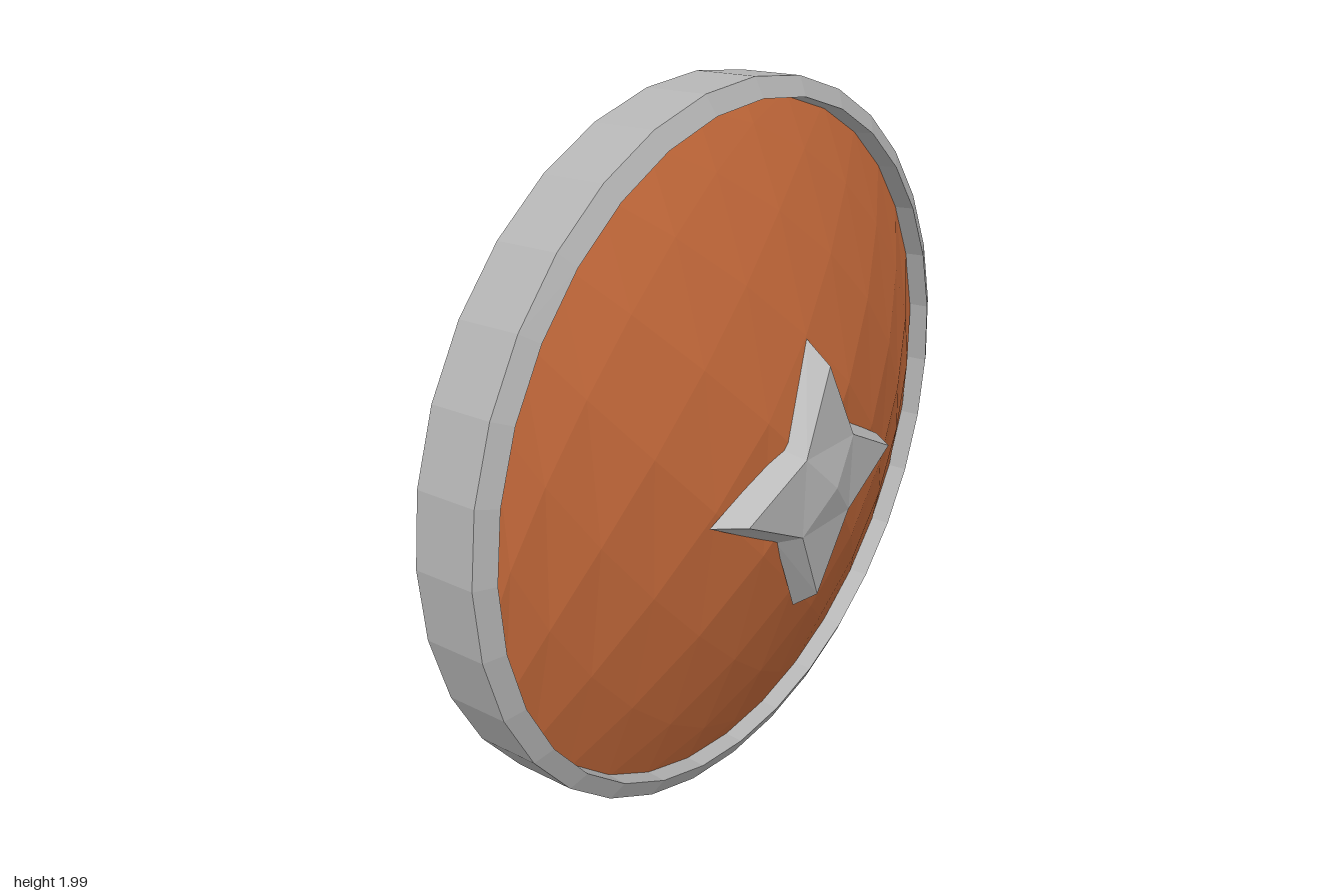
import * as THREE from 'three';

const metal = new THREE.MeshStandardMaterial({ name: 'greyMetal', color: 0xb4b4b4, flatShading: true });
const wood = new THREE.MeshStandardMaterial({ name: 'orangeWood', color: 0xc4693a, flatShading: true });

// Every part leans forward a little towards its top
const lean = new THREE.Matrix4().set(
  1, 0, 0, 0,
  0, 1, 0, 0,
  0, 0.04, 1, 0,
  0, 0, 0, 1);

// Flat-sided geometry from convex polygons, corners anticlockwise from outside
function facets(polys) {
  const pos = [];
  for (const p of polys)
    for (let i = 1; i < p.length - 1; i++) pos.push(...p[0], ...p[i], ...p[i + 1]);
  const g = new THREE.BufferGeometry();
  g.setAttribute('position', new THREE.Float32BufferAttribute(pos, 3));
  g.computeVertexNormals();
  return g;
}

// Side walls between a back loop and a front loop (anticlockwise seen from +z)
function walls(back, front) {
  return back.map((b, i) => {
    const j = (i + 1) % back.length;
    return [b, back[j], front[j], front[i]];
  });
}

function part(name, geometry, material) {
  const m = new THREE.Mesh(geometry.applyMatrix4(lean), material);
  m.name = name;
  return m;
}

// Hoop with a bevelled front edge and an inward-sloping back edge
function rimGeometry() {
  const profile = [[0.937, -0.175], [1, -0.21], [1, -0.03], [0.948, -0.003], [0.937, -0.175]]
    .map(([r, z]) => new THREE.Vector2(r, z));
  const g = new THREE.LatheGeometry(profile, 32);
  g.rotateX(Math.PI / 2);
  g.scale(1, 0.994, 1);
  return g;
}

// Thick shallow dome: an 8 x 8 square grid rounded to a disc and turned 45 degrees
function domePoint(i, j, depth) {
  const step = k => Math.SQRT2 * Math.sin((k - 4) * Math.PI / 16);
  const u = step(i), v = step(j);
  const a = u * Math.sqrt(1 - v * v / 2), b = v * Math.sqrt(1 - u * u / 2);
  const x = 0.954 * (a - b) * Math.SQRT1_2, y = 0.954 * (a + b) * Math.SQRT1_2;
  const r = Math.hypot(x, y);
  return [x, y, 0.22 - 0.1 * r - 0.21 * r * r - depth];
}

function domeGeometry() {
  const polys = [];
  for (let i = 0; i < 8; i++)
    for (let j = 0; j < 8; j++) {
      const quad = d => [[i, j], [i + 1, j], [i + 1, j + 1], [i, j + 1]].map(([a, b]) => domePoint(a, b, d));
      polys.push(quad(0), quad(0.1).reverse());
    }
  return facets(polys);
}

// Four-pointed boss: sloping sides, flat arms and a central pyramid
function starGeometry() {
  const loop = (tip, tipZ, notch, notchZ) => Array.from({ length: 8 }, (_, k) => {
    const a = k * Math.PI / 4, r = k % 2 ? notch : tip;
    return [r * Math.cos(a), r * Math.sin(a), k % 2 ? notchZ : tipZ];
  });
  const base = loop(0.39, 0.155, 0.19, 0.18);
  const top = loop(0.33, 0.232, 0.156, 0.247);
  const faces = walls(base, top);
  for (let k = 0; k < 8; k += 2) {
    const before = top[(k + 7) % 8], after = top[k + 1];
    faces.push([before, top[k], after], [[0, 0, 0.275], before, after]);
  }
  return facets(faces);
}

// Grip: long hexagon with a shallow channel along its back
function gripGeometry() {
  const h = 0.155;
  const plan = [[0.53, 0], [0.42, h], [-0.42, h], [-0.53, 0], [-0.42, -h], [0.42, -h]];
  const back = plan.map(([x, y]) => [x, y, y === 0 ? -0.275 : -0.252]);
  const front = plan.map(([x, y]) => [x, y, -0.18]);
  const [tipL, topL, topR, tipR, lowR, lowL] = back;
  const inL = [0.31, 0, -0.229], inR = [-0.31, 0, -0.229];
  const rear = [
    [tipL, topL, inL, lowL], [inR, topR, tipR, lowR],
    [topL, topR, inR, inL], [inL, inR, lowR, lowL],
  ].map(p => p.reverse());
  return facets([...walls(back, front), front, ...rear]);
}

// Diamond-section leg splaying out from the grip into the dome
function legGeometry(side) {
  const diamond = (cx, cy, rx, ry, z) => [[rx, 0], [0, ry], [-rx, 0], [0, -ry]]
    .map(([x, y]) => [side * cx + x, cy + y, z]);
  return facets(walls(diamond(0.42, 0, 0.11, 0.155, -0.181), diamond(0.59, 0.02, 0.18, 0.2, -0.01)));
}

export function createModel() {
  const group = new THREE.Group();
  group.name = 'roundShield';

  const body = new THREE.Group();
  body.name = 'body';
  body.position.y = 0.995;
  group.add(body);

  body.add(part('rim', rimGeometry(), metal));
  body.add(part('dome', domeGeometry(), wood));

  const star = part('starBoss', starGeometry(), metal);
  star.position.y = -0.033;
  body.add(star);

  const handle = new THREE.Group();
  handle.name = 'handle';
  handle.position.y = -0.03;
  handle.add(part('grip', gripGeometry(), metal));
  handle.add(part('leftLeg', legGeometry(1), wood));
  handle.add(part('rightLeg', legGeometry(-1), wood));
  body.add(handle);

  return group;
}
